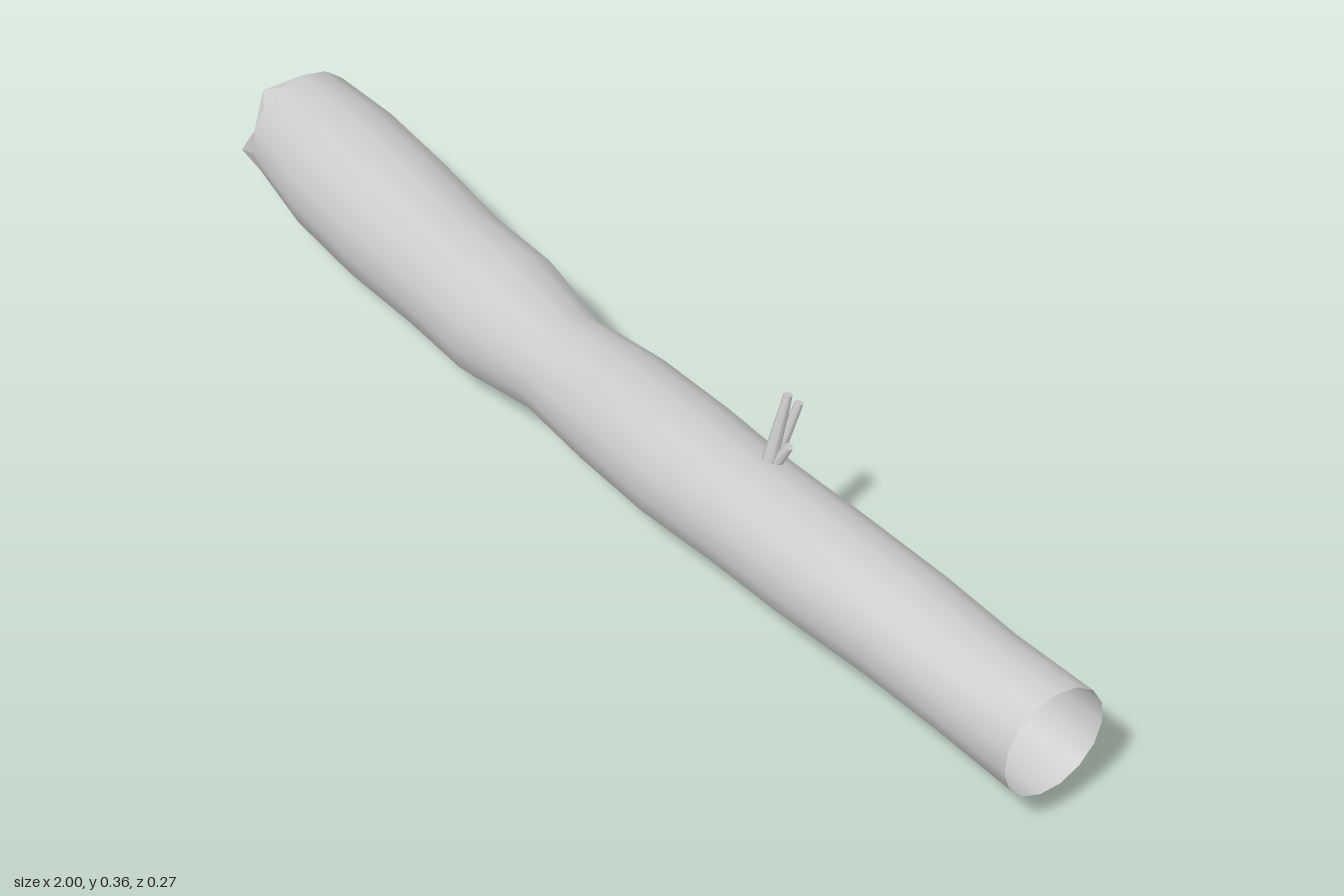
import * as THREE from 'three';

const SIDES = 15;

// Trunk cross-sections: x, lowest y, highest y, lowest z, highest z
const SECTIONS = [
  [-0.95, 0.025, 0.236, -0.137, 0.073],
  [-0.8, 0.008, 0.246, -0.14, 0.1],
  [-0.63, 0.001, 0.24, -0.13, 0.108],
  [-0.45, 0.014, 0.231, -0.11, 0.112],
  [-0.3, 0.018, 0.24, -0.101, 0.122],
  [-0.13, 0.05, 0.222, -0.068, 0.108],
  [0.03, 0.05, 0.246, -0.073, 0.125],
  [0.2, 0.056, 0.258, -0.068, 0.135],
  [0.36, 0.067, 0.258, -0.06, 0.13],
  [0.52, 0.071, 0.262, -0.062, 0.128],
  [0.7, 0.079, 0.258, -0.066, 0.118],
  [0.85, 0.077, 0.25, -0.066, 0.11],
  [1.0, 0.071, 0.248, -0.075, 0.106],
];

function ringPoint([x, y0, y1, z0, z1], j, scale = 1, dx = 0) {
  const a = (j / SIDES) * Math.PI * 2;
  return [
    x + dx,
    (y0 + y1) / 2 + ((y1 - y0) / 2) * scale * Math.cos(a),
    (z0 + z1) / 2 + ((z1 - z0) / 2) * scale * Math.sin(a),
  ];
}

function geometryFrom(positions, index) {
  const g = new THREE.BufferGeometry();
  g.setAttribute('position', new THREE.Float32BufferAttribute(positions, 3));
  if (index) g.setIndex(index);
  g.computeVertexNormals();
  return g;
}

// Open tube lofted through the sections
function trunkGeometry() {
  const positions = [], index = [];
  SECTIONS.forEach((s, i) => {
    for (let j = 0; j < SIDES; j++) {
      positions.push(...ringPoint(s, j));
      if (i === SECTIONS.length - 1) continue;
      const a = i * SIDES + j, c = i * SIDES + ((j + 1) % SIDES);
      index.push(a, c, a + SIDES, c, c + SIDES, a + SIDES);
    }
  });
  return geometryFrom(positions, index);
}

// Crown of splinters closing the broken end: each spans three rim segments
function splinterGeometry() {
  const rim = SECTIONS[0], positions = [];
  const centre = ringPoint(rim, 0, 0, 0.005);
  [0.03, 0.05, 0.05, 0.02, 0.012].forEach((length, k) => {
    const start = k * 3;
    const tip = ringPoint(rim, start + 1.5, 0.97, -length);
    for (let j = start; j < start + 3; j++) {
      positions.push(...ringPoint(rim, j), ...tip, ...ringPoint(rim, j + 1));
    }
    positions.push(...centre, ...tip, ...ringPoint(rim, start));
    positions.push(...centre, ...ringPoint(rim, start + 3), ...tip);
  });
  return geometryFrom(positions);
}

// Tapered twig between two points
function twig(from, to, r0, r1, material) {
  const a = new THREE.Vector3(...from), b = new THREE.Vector3(...to);
  const dir = b.clone().sub(a);
  const mesh = new THREE.Mesh(new THREE.CylinderGeometry(r1, r0, dir.length(), 7), material);
  mesh.position.copy(a).add(b).multiplyScalar(0.5);
  mesh.quaternion.setFromUnitVectors(new THREE.Vector3(0, 1, 0), dir.normalize());
  mesh.name = 'twig';
  return mesh;
}

export function createModel() {
  const wood = new THREE.MeshStandardMaterial({ color: 0xcccccc, side: THREE.DoubleSide });
  wood.name = 'pale grey wood';

  const model = new THREE.Group();
  model.name = 'hollowLog';

  const trunk = new THREE.Mesh(trunkGeometry(), wood);
  trunk.name = 'trunk';

  const splinters = new THREE.Mesh(splinterGeometry(), wood);
  splinters.name = 'splinteredEnd';

  // Small branch with a main stem and two offshoots
  const branch = new THREE.Group();
  branch.name = 'branch';
  branch.add(
    twig([0.36, 0.2, 0.021], [0.368, 0.364, -0.017], 0.016, 0.007, wood),
    twig([0.366, 0.25, 0.002], [0.377, 0.348, -0.031], 0.01, 0.007, wood),
    twig([0.366, 0.24, 0.006], [0.388, 0.286, -0.005], 0.01, 0.007, wood),
  );

  model.add(trunk, splinters, branch);
  return model;
}
